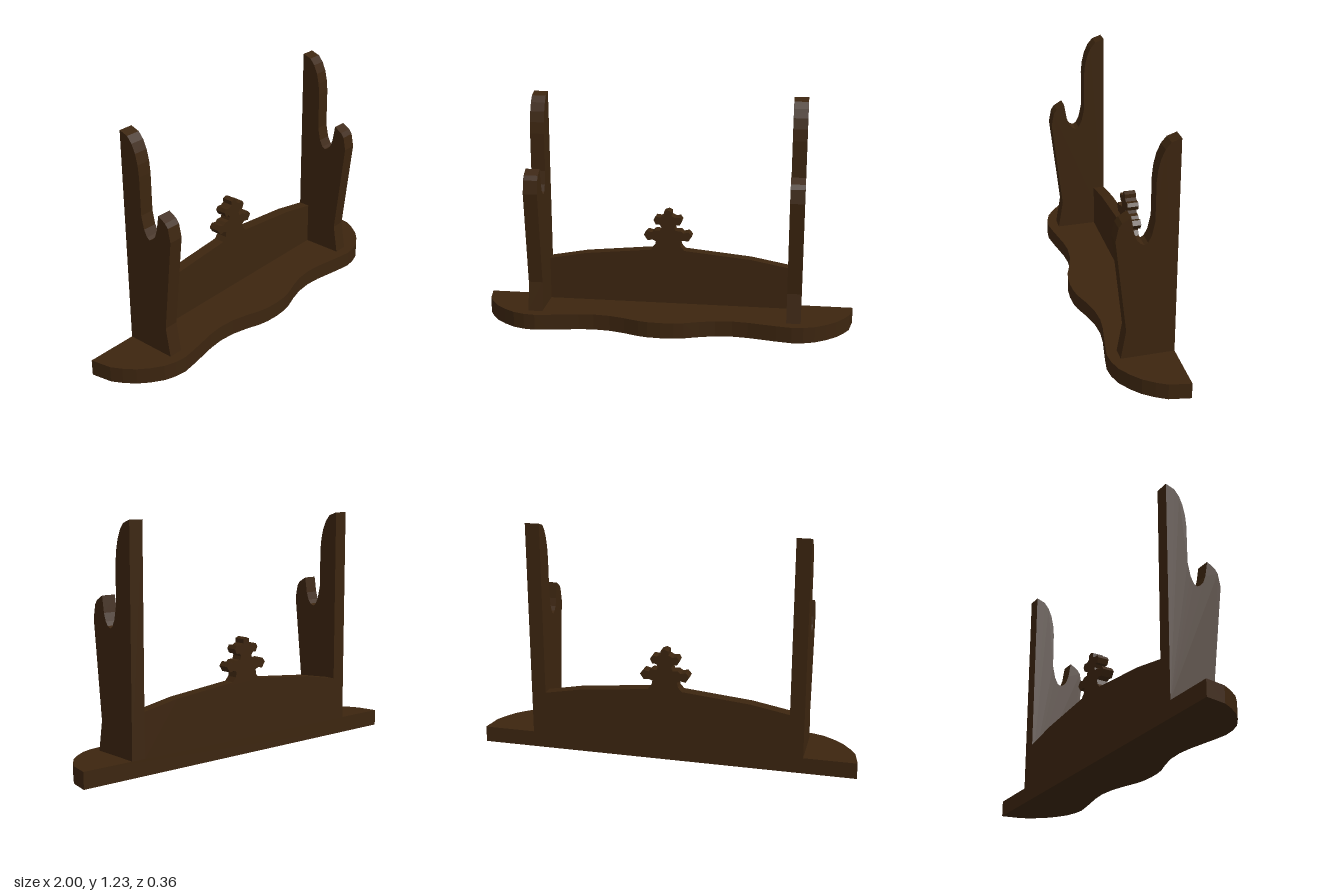
import * as THREE from 'three';

const BACK = -0.18;

// Extrudes a polygon given as [x, y] points
function slab(points, depth) {
  const shape = new THREE.Shape(points.map(([x, y]) => new THREE.Vector2(x, y)));
  return new THREE.ExtrudeGeometry(shape, { depth, bevelEnabled: false });
}

// Completes a right-half outline (outside to centre) with its mirror image
function mirrored(half) {
  return [...half, ...half.slice(0, -1).reverse().map(([x, y]) => [-x, y])];
}

export function createModel() {
  const group = new THREE.Group();
  const wood = new THREE.MeshStandardMaterial({ color: 0x3c250f });
  wood.name = 'darkWood';

  function add(name, geometry) {
    const mesh = new THREE.Mesh(geometry, wood);
    mesh.name = name;
    group.add(mesh);
    return mesh;
  }

  // Base board with a wavy front edge, as [x, z]
  const frontEdge = [
    [1, BACK], [0.98, -0.07], [0.95, -0.015], [0.91, 0.04], [0.86, 0.085], [0.8, 0.125],
    [0.74, 0.145], [0.68, 0.152], [0.6, 0.14], [0.45, 0.112], [0.37, 0.105],
    [0.28, 0.113], [0.2, 0.135], [0.12, 0.163], [0.07, 0.174], [0, 0.178],
  ];
  const base = slab(mirrored(frontEdge).map(([x, z]) => [x, -z]), 0.085);
  base.rotateX(-Math.PI / 2);
  add('base', base);

  // Back panel with an arched top and a carved leaf finial, as [x, y]
  const panelEdge = [
    [0.65, 0.085], [0.65, 0.315], [0.45, 0.352], [0.09, 0.387],
    [0.07, 0.41], [0.065, 0.437], [0.085, 0.445], [0.11, 0.44], [0.13, 0.47],
    [0.112, 0.492], [0.085, 0.485], [0.07, 0.497], [0.042, 0.497], [0.035, 0.515],
    [0.045, 0.53], [0.065, 0.53], [0.077, 0.555], [0.065, 0.573], [0.04, 0.57],
    [0.02, 0.58], [0.02, 0.602], [0, 0.61],
  ];
  const panel = slab(mirrored(panelEdge), 0.06);
  panel.translate(0, 0, BACK);
  add('backPanel', panel);

  // Uprights with a cradle notch and a taller rear arm, as [z, y]
  const profile = [
    [BACK, 0.085], [0.094, 0.085], [0.068, 0.24], [0.124, 0.74], [0.11, 0.81], [0.093, 0.833],
    [0.05, 0.858], [0.036, 0.775], [0.022, 0.735], [0.005, 0.715], [-0.015, 0.705],
    [-0.032, 0.715], [-0.05, 0.75], [-0.065, 0.82], [-0.066, 1.02], [-0.072, 1.08],
    [-0.085, 1.135], [-0.105, 1.18], [-0.132, 1.212], [BACK, 1.228],
  ];
  const upright = slab(profile, 0.075);
  upright.rotateY(-Math.PI / 2);
  upright.translate(0.0375, 0, 0);
  for (const [name, side] of [['leftUpright', 1], ['rightUpright', -1]]) {
    add(name, upright).position.x = side * 0.6875;
  }

  return group;
}
